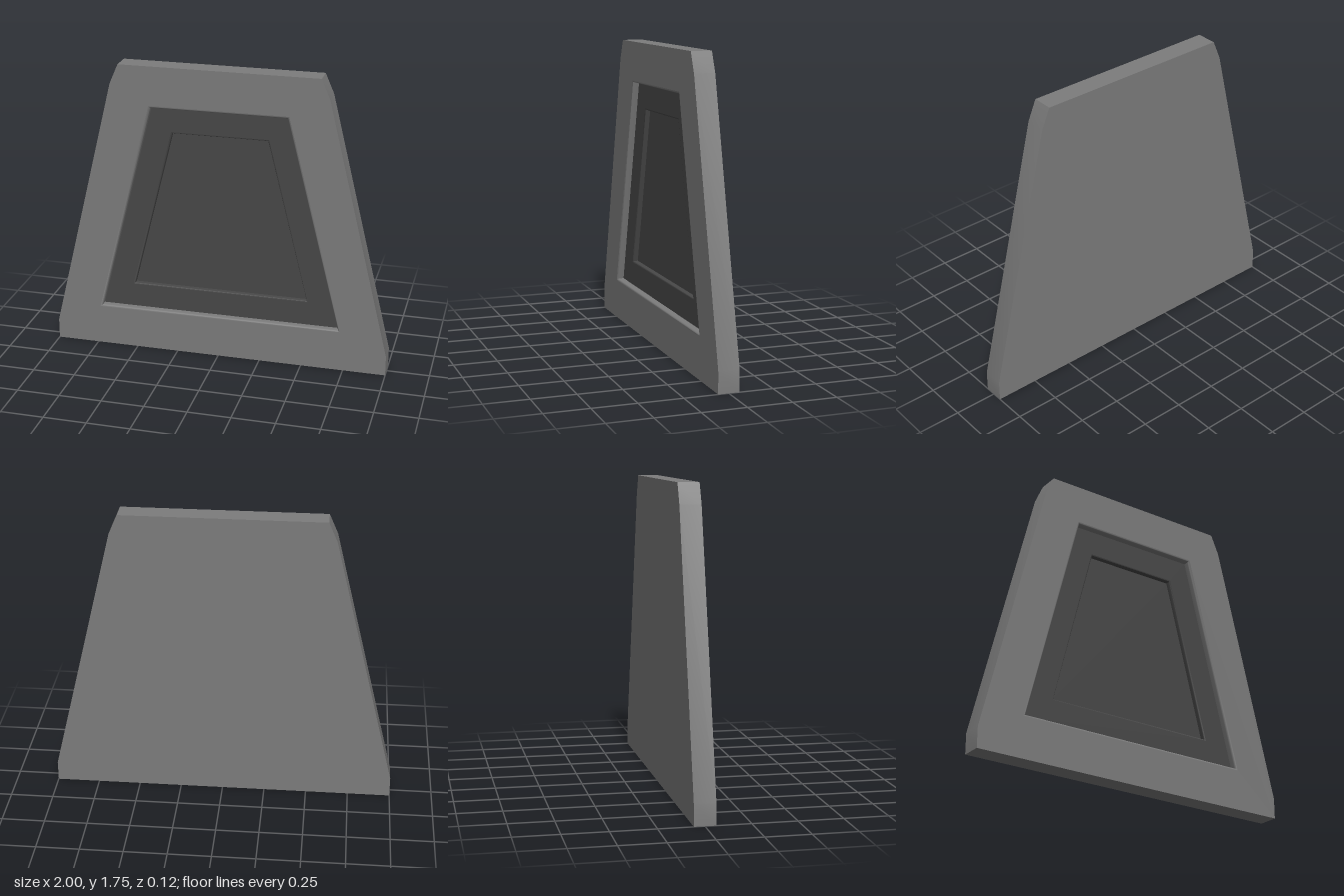
import * as THREE from 'three';
import { toCreasedNormals } from 'three/addons/utils/BufferGeometryUtils.js';

const frameMat = new THREE.MeshStandardMaterial({ color: 0x7c7c7c });
const panelMat = new THREE.MeshStandardMaterial({ color: 0x484848 });

const FRONT = 0.06, BACK = -0.06, LEDGE = 0.02, FLOOR = -0.01;

// Counter-clockwise trapezoid, shrunk evenly on all sides by "inset".
function trapezoid(y0, x0, y1, x1, inset = 0) {
  const slope = (x0 - x1) / (y1 - y0);
  const side = inset * Math.hypot(1, slope);
  const xb = x0 - slope * inset - side, xt = x1 + slope * inset - side;
  return [[-xb, y0 + inset], [xb, y0 + inset], [xt, y1 - inset], [-xt, y1 - inset]];
}

// Closed strips joining rings of equal length, front side towards the outside
// of the ring when the rings run from back to front.
function loft(rings) {
  const pos = [];
  for (let r = 0; r < rings.length - 1; r++) {
    const a = rings[r], b = rings[r + 1], n = a.pts.length;
    for (let i = 0; i < n; i++) {
      const j = (i + 1) % n;
      const a0 = [...a.pts[i], a.z], a1 = [...a.pts[j], a.z];
      const b0 = [...b.pts[i], b.z], b1 = [...b.pts[j], b.z];
      pos.push(...a0, ...a1, ...b1, ...a0, ...b1, ...b0);
    }
  }
  const g = new THREE.BufferGeometry();
  g.setAttribute('position', new THREE.Float32BufferAttribute(pos, 3));
  return toCreasedNormals(g, 0.7);
}

// Flat face at height z, with an optional hole.
function face(pts, z, hole) {
  const shape = new THREE.Shape(pts.map(p => new THREE.Vector2(...p)));
  if (hole) shape.holes.push(new THREE.Path(hole.map(p => new THREE.Vector2(...p))));
  return new THREE.ShapeGeometry(shape).translate(0, 0, z);
}

// Wall dropping from one level to a lower one, with a rounded upper lip.
function stepWall(dims, top, bottom, lip) {
  const rings = [];
  for (let i = 0; i <= 4; i++) {
    const a = (i / 4) * Math.PI / 2;
    rings.push({ pts: trapezoid(...dims, lip * Math.sin(a)), z: top - lip * (1 - Math.cos(a)) });
  }
  rings.push({ pts: trapezoid(...dims, lip), z: bottom });
  return loft(rings);
}

export function createModel() {
  const model = new THREE.Group();
  const add = (name, geometry, material) => {
    const mesh = new THREE.Mesh(geometry, material);
    mesh.name = name;
    model.add(mesh);
    return mesh;
  };

  // Slab outline and the two nested recesses: bottom y, half width, top y, half width
  const half = [[1, 0], [1, 0.12], [0.63, 1.64], [0.58, 1.755]];
  const outline = [...half, ...half.map(([x, y]) => [-x, y]).reverse()];
  const outer = [0.24, 0.73, 1.525, 0.405];
  const inner = [0.393, 0.53, 1.367, 0.285];
  const lip = 0.012, innerLip = 0.008;

  // Outer frame
  add('frameFront', face(outline, FRONT, trapezoid(...outer)), frameMat);
  add('frameEdge', loft([{ pts: outline, z: BACK }, { pts: outline, z: FRONT }]), frameMat);
  add('backFace', face(outline, 0).rotateY(Math.PI).translate(0, 0, BACK), frameMat);
  add('frameLip', stepWall(outer, FRONT, LEDGE, lip), frameMat);

  // Sunken panel in two steps
  add('panelLedge', face(trapezoid(...outer, lip), LEDGE, trapezoid(...inner)), panelMat);
  add('panelLip', stepWall(inner, LEDGE, FLOOR, innerLip), panelMat);
  add('panelFloor', face(trapezoid(...inner, innerLip), FLOOR), panelMat);

  return model;
}
